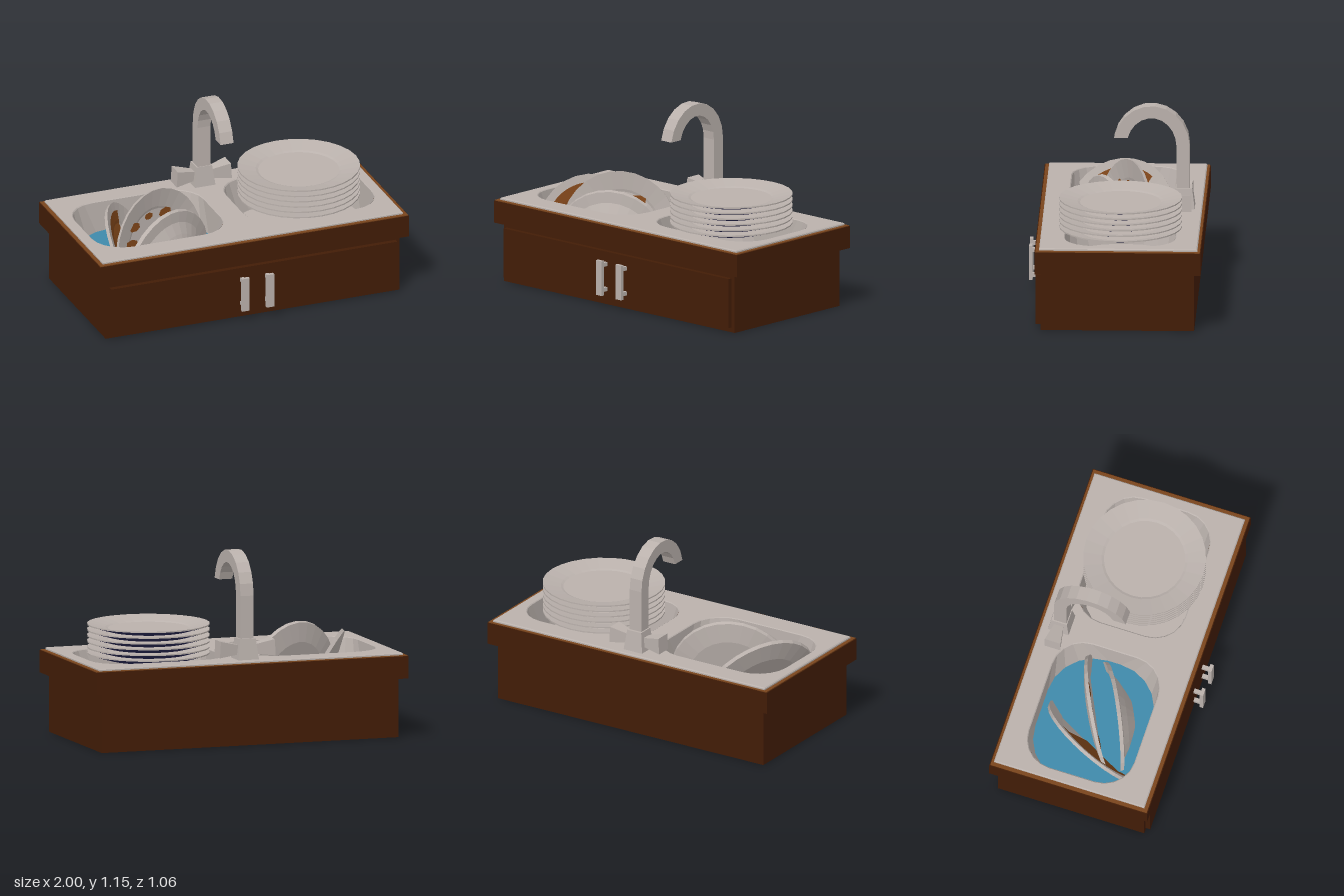
import * as THREE from 'three';

const mat = (name, color, side = THREE.FrontSide) => {
  const m = new THREE.MeshStandardMaterial({ color, side });
  m.name = name;
  return m;
};

export function createModel() {
  const model = new THREE.Group();
  const wood = mat('darkWood', 0x421c06);
  const edgeWood = mat('lightWoodEdge', 0x7a451c);
  const steel = mat('steelAndChina', 0xbab1ac, THREE.DoubleSide);
  const navy = mat('navyUnderside', 0x2a2a58, THREE.DoubleSide);
  const sauce = mat('sauce', 0x80461a, THREE.DoubleSide);
  const blue = mat('water', 0x3f8aaa);

  const add = (name, geo, material, parent = model) => {
    const mesh = new THREE.Mesh(geo, material);
    mesh.name = name;
    parent.add(mesh);
    return mesh;
  };
  const box = (name, material, x0, x1, y0, y1, z0, z1) =>
    add(name, new THREE.BoxGeometry(x1 - x0, y1 - y0, z1 - z0)
      .translate((x0 + x1) / 2, (y0 + y1) / 2, (z0 + z1) / 2), material);

  // Rounded rectangle as points in plan (x, -z)
  const roundRect = (cx, cz, w, d, r, seg = 5) => {
    const pts = [];
    [[1, 1], [-1, 1], [-1, -1], [1, -1]].forEach(([sx, sy], q) => {
      for (let i = 0; i <= seg; i++) {
        const a = (q + i / seg) * Math.PI / 2;
        pts.push(new THREE.Vector2(cx + sx * (w / 2 - r) + r * Math.cos(a),
          -cz + sy * (d / 2 - r) + r * Math.sin(a)));
      }
    });
    return pts;
  };
  const basinLoop = (side, k = 1, r = 0.19) => roundRect(side * 0.49, -0.037, 0.83 * k, 0.665 * k, r);
  const rect = (x, z0, z1) => [[-x, -z1], [x, -z1], [x, -z0], [-x, -z0]].map(p => new THREE.Vector2(...p));
  const slab = (name, material, outline, holes, y0, y1, bevel = 0) => {
    const shape = new THREE.Shape(outline);
    shape.holes = holes.map(h => new THREE.Path(h));
    const geo = new THREE.ExtrudeGeometry(shape, {
      depth: y1 - y0 - bevel, bevelEnabled: bevel > 0, bevelThickness: bevel,
      bevelSize: bevel, bevelOffset: -bevel, bevelSegments: 1,
    });
    return add(name, geo.rotateX(-Math.PI / 2).translate(0, y0, 0), material);
  };
  const cutouts = () => [basinLoop(-1, 1.02), basinLoop(1, 1.02)];

  // Cabinet with room for the basins, door panel and worktop
  box('cabinet', wood, -0.95, 0.95, 0, 0.29, -0.49, 0.435);
  slab('cabinetTop', wood, rect(0.95, -0.49, 0.435), cutouts(), 0.29, 0.362);
  box('doorPanel', wood, -0.925, 0.925, 0.03, 0.335, 0.43, 0.465);
  slab('worktop', wood, rect(1, -0.53, 0.47), cutouts(), 0.36, 0.496);
  slab('worktopEdge', edgeWood, rect(0.995, -0.525, 0.465), [rect(0.965, -0.5, 0.435)], 0.494, 0.501);
  slab('sinkTop', steel, rect(0.972, -0.51, 0.443), [basinLoop(-1), basinLoop(1)], 0.496, 0.515, 0.006);

  // Door handles
  for (const s of [-1, 1]) {
    const x = s * 0.08;
    box('doorHandle', steel, x - 0.024, x + 0.024, 0.075, 0.29, 0.509, 0.53);
    for (const y of [0.105, 0.26])
      box('handlePost', steel, x - 0.012, x + 0.012, y - 0.012, y + 0.012, 0.46, 0.512);
  }

  // Basins: upright walls whose corners draw in towards the floor
  const floorY = 0.3;
  for (const s of [-1, 1]) {
    const top = basinLoop(s), low = basinLoop(s, 0.985, 0.3), pos = [];
    top.forEach((p, i) => {
      const j = (i + 1) % top.length;
      const a = [p.x, 0.511, -p.y], b = [top[j].x, 0.511, -top[j].y];
      const c = [low[j].x, floorY, -low[j].y], d = [low[i].x, floorY, -low[i].y];
      pos.push(...a, ...b, ...c, ...a, ...c, ...d);
    });
    const walls = new THREE.BufferGeometry();
    walls.setAttribute('position', new THREE.Float32BufferAttribute(pos, 3));
    walls.computeVertexNormals();
    add('basinWalls', walls, steel);
    const floor = new THREE.ShapeGeometry(new THREE.Shape(low));
    add('basinFloor', floor.rotateX(-Math.PI / 2).translate(0, floorY, 0), steel);
  }
  add('water', new THREE.ShapeGeometry(new THREE.Shape(basinLoop(-1, 0.987, 0.289)))
    .rotateX(-Math.PI / 2).translate(0, 0.325, 0), blue);

  // Tap: square-section swan neck
  const neck = new THREE.Shape();
  neck.moveTo(-0.435, 0.51);
  const steps = 10;
  const arc = (rx, ry, end, reverse) => {
    for (let i = 0; i <= steps; i++) {
      const t = (reverse ? steps - i : i) / steps;
      const a = Math.PI + (end - Math.PI) * t;
      neck.lineTo(-0.205 + rx * Math.cos(a), 0.9 + ry * Math.sin(a));
    }
  };
  arc(0.23, 0.25, 0.2, false);
  arc(0.15, 0.175, 0.29, true);
  neck.lineTo(-0.355, 0.51);
  add('tapNeck', new THREE.ExtrudeGeometry(neck, { depth: 0.084, bevelEnabled: false })
    .translate(0, 0, -0.042).rotateY(-Math.PI / 2), steel);

  // Tap foot and flared levers: four-sided tapered blocks
  const block = (r0, r1, h) =>
    new THREE.CylinderGeometry(r1 * Math.SQRT2, r0 * Math.SQRT2, h, 4, 1)
      .rotateY(Math.PI / 4).toNonIndexed();
  const flat = g => { g.computeVertexNormals(); return g; };
  add('tapFoot', flat(block(0.066, 0.05, 0.128).translate(0, 0.577, -0.4)), steel);
  for (const s of [-1, 1])
    add('tapLever', flat(block(0.028, 0.05, 0.125).rotateZ(-s * Math.PI / 2 + s * 0.06)
      .translate(s * 0.113, 0.577, -0.4)), steel);

  // Dishes: each is an underside and a top turned about its axis
  const lathe = (pts, start, length) => flat(new THREE.LatheGeometry(
    pts.map(p => new THREE.Vector2(...p)), length < 6 ? 16 : 28, start, length).toNonIndexed());
  const plateUnder = [[0, -0.012], [0.25, -0.012], [0.37, 0.022]];
  const plateTop = [[0.37, 0.022], [0.37, 0.03], [0.26, 0.006], [0.245, 0], [0, 0]];
  const thickUnder = [[0, -0.018], [0.25, -0.018], [0.365, 0.008]];
  const thickTop = [[0.365, 0.008], [0.37, 0.03], [0.26, 0.006], [0.245, 0], [0, 0]];
  const bowlUnder = [[0, -0.125], [0.14, -0.115], [0.24, -0.06], [0.3, -0.02], [0.365, -0.008]];
  const bowlTop = [[0.365, -0.008], [0.37, 0.016], [0.31, 0.006], [0.24, -0.045], [0.14, -0.1], [0, -0.11]];

  // Stack of plates
  for (let i = 0; i < 6; i++) {
    const plate = new THREE.Group();
    plate.name = 'stackedPlate';
    plate.position.set(0.485, 0.5 + i * 0.035, -0.033);
    add('plateUnderside', lathe(plateUnder, 0, Math.PI * 2), navy, plate);
    add('plateTop', lathe(plateTop, 0, Math.PI * 2), steel, plate);
    model.add(plate);
  }

  // Dishes standing in the water, only the part around the surface and above
  const standing = (name, under, top, pos, yaw, tilt) => {
    const dish = new THREE.Group();
    dish.name = name;
    dish.position.set(...pos);
    dish.rotation.set(tilt, yaw, 0, 'YXZ');
    for (const [part, pts] of [['Underside', under], ['Top', top]])
      add(name + part, lathe(pts, -1.75, 3.5).rotateX(-Math.PI / 2), steel, dish);
    model.add(dish);
    return dish;
  };
  standing('bowl', bowlUnder, bowlTop, [-0.41, 0.22, 0.06], 0.464, 0.08);
  const middle = standing('middlePlate', thickUnder, thickTop, [-0.43, 0.305, -0.04], Math.PI + 0.445, 0.18);
  const rear = standing('rearPlate', thickUnder, thickTop, [-0.6, 0.27, 0], Math.PI + 1.08, 0.5);

  // Sauce left on the plates
  const smear = [[0, 0.004], [0.245, 0.004], [0.262, 0.011], [0.32, 0.024]];
  add('sauceSmear', lathe(smear, -0.5, 2.2).rotateX(-Math.PI / 2), sauce, rear);
  for (const [x, y, r] of [[0.17, 0.19, 0.04], [0.04, 0.22, 0.03], [-0.1, 0.2, 0.045], [0.22, 0.09, 0.05]])
    add('sauceSpot', new THREE.CircleGeometry(r, 7).scale(1.2, 0.7, 1).translate(x, y, -0.01), sauce, middle);

  return model;
}
